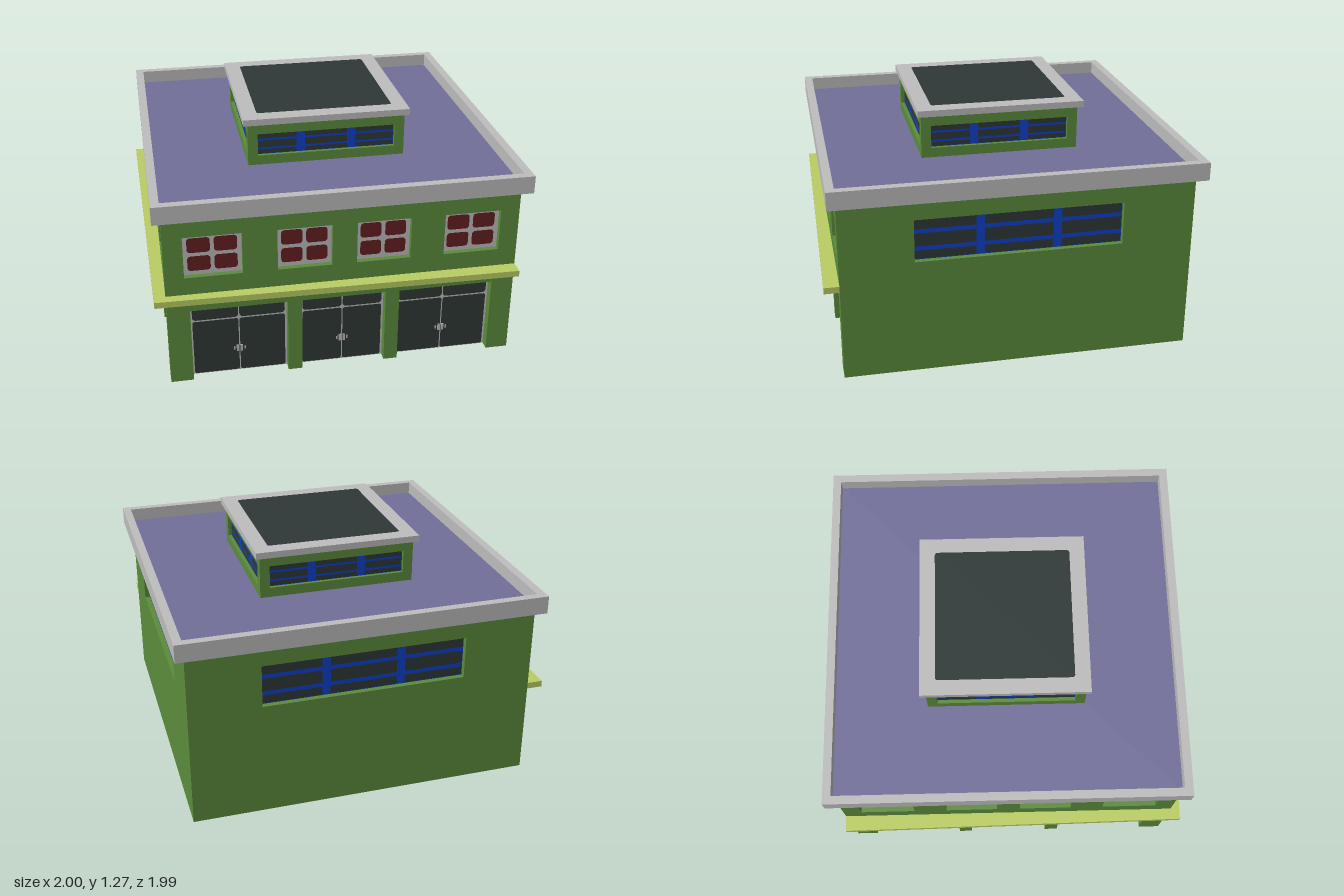
import * as THREE from 'three';

const mat = (name, color, side = THREE.DoubleSide) => {
  const m = new THREE.MeshStandardMaterial({ color, side });
  m.name = name;
  return m;
};
const green = mat('wall green', 0x5b8c3c);
const grey = mat('trim grey', 0xbdbdbd);
const lime = mat('ledge lime', 0xbacd63);
const purple = mat('roof purple', 0x726f9a);
const dark = mat('dark glass', 0x2e3836);
const red = mat('red pane', 0x641f20);
const blue = mat('bar blue', 0x1040c8);

function add(parent, name, geometry, material, x = 0, y = 0, z = 0) {
  const mesh = new THREE.Mesh(geometry, material);
  mesh.name = name;
  mesh.position.set(x, y, z);
  parent.add(mesh);
  return mesh;
}

// Rectangle path with corners cut round by r
function rect(Kind, x0, y0, x1, y1, r = 0) {
  const p = new Kind();
  if (!r) return p.setFromPoints([[x0, y0], [x1, y0], [x1, y1], [x0, y1]].map(a => new THREE.Vector2(...a)));
  const q = Math.PI / 2;
  p.absarc(x1 - r, y0 + r, r, -q, 0);
  p.absarc(x1 - r, y1 - r, r, 0, q);
  p.absarc(x0 + r, y1 - r, r, q, 2 * q);
  p.absarc(x0 + r, y0 + r, r, 2 * q, 3 * q);
  p.closePath();
  return p;
}

// Square ring lying flat, extruded upward
function ring(outer, inner, height) {
  const s = rect(THREE.Shape, -outer, -outer, outer, outer);
  s.holes.push(rect(THREE.Path, -inner, -inner, inner, inner));
  return new THREE.ExtrudeGeometry(s, { depth: height, bevelEnabled: false }).rotateX(-Math.PI / 2);
}

// Frame and panes sharing one plane; panes are [x0, y0, x1, y1, radius]
function glazing(parent, name, o, z, panes, frameMat, paneMat) {
  const frame = rect(THREE.Shape, o.u0, o.v0, o.u1, o.v1);
  panes.forEach(p => frame.holes.push(rect(THREE.Path, ...p)));
  add(parent, name + 'Frame', new THREE.ShapeGeometry(frame, 4), frameMat, 0, 0, z);
  add(parent, name + 'Panes', new THREE.ShapeGeometry(panes.map(p => rect(THREE.Shape, ...p)), 4), paneMat, 0, 0, z);
}

// Panes between grid lines, with a gap between neighbours
function gridPanes(us, vs, gapU, gapV, r) {
  const panes = [];
  for (let i = 0; i + 1 < us.length; i++)
    for (let j = 0; j + 1 < vs.length; j++)
      panes.push([
        us[i] + (i ? gapU / 2 : 0), vs[j] + (j ? gapV / 2 : 0),
        us[i + 1] - (i + 2 < us.length ? gapU / 2 : 0), vs[j + 1] - (j + 2 < vs.length ? gapV / 2 : 0), r]);
  return panes;
}

const fill = {
  smallWindow(g, o, z) {
    const b = 0.022;
    const us = [o.u0 + b, (o.u0 + o.u1) / 2, o.u1 - b], vs = [o.v0 + b, (o.v0 + o.v1) / 2, o.v1 - b];
    glazing(g, 'window', o, z, gridPanes(us, vs, 0.02, 0.02, 0.018), grey, red);
  },
  garageDoor(g, o, z) {
    const c = (o.u0 + o.u1) / 2, b = 0.01;
    const panes = gridPanes([o.u0 + b, c, o.u1 - b], [o.v0 + 0.003, 0.332, o.v1 - b], 0.006, 0.008, 0.02);
    panes.forEach(p => { if (p[1] < 0.1) p[4] = 0.012; });
    glazing(g, 'door', o, z, panes, grey, dark);
    // Handles beside the centre seam
    for (const s of [-1, 1]) {
      add(g, 'doorHandle', new THREE.BoxGeometry(0.012, 0.04, 0.008), grey, c + s * 0.011, 0.14, z);
      add(g, 'handleKnob', new THREE.BoxGeometry(0.008, 0.018, 0.008), grey, c + s * 0.028, 0.14, z);
    }
  },
  stripWindow(g, o, z) {
    const b = 0.003, h = o.v1 - o.v0, w = o.u1 - o.u0;
    const us = [o.u0 + b, -w * 0.185, w * 0.185, o.u1 - b];
    const vs = [o.v0 + b, o.v0 + h * 0.26, o.v0 + h * 0.67, o.v1 - b];
    glazing(g, 'stripWindow', o, z, gridPanes(us, vs, 0.045, h * 0.1, 0), blue, dark);
  },
};

// Thin wall facing +z with recessed openings
function wall(name, half, y0, y1, openings) {
  const g = new THREE.Group();
  g.name = name;
  const pts = [[-half, y0]];
  for (const o of openings) if (o.v0 === y0) pts.push([o.u0, y0], [o.u0, o.v1], [o.u1, o.v1], [o.u1, y0]);
  pts.push([half, y0], [half, y1], [-half, y1]);
  const shape = new THREE.Shape(pts.map(p => new THREE.Vector2(...p)));
  for (const o of openings) {
    if (o.v0 !== y0) shape.holes.push(rect(THREE.Path, o.u0, o.v0, o.u1, o.v1));
    const d = o.depth, w = o.u1 - o.u0, h = o.v1 - o.v0, cu = (o.u0 + o.u1) / 2, cv = (o.v0 + o.v1) / 2;
    // Reveals around the opening
    for (const s of [-1, 1]) {
      add(g, 'revealSide', new THREE.PlaneGeometry(d, h).rotateY(-s * Math.PI / 2), green, cu + s * w / 2, cv, half - d / 2);
      if (s > 0 || o.v0 !== y0)
        add(g, 'revealEdge', new THREE.PlaneGeometry(w, d).rotateX(s * Math.PI / 2), green, cu, cv + s * h / 2, half - d / 2);
    }
    fill[o.type](g, o, half - d);
  }
  add(g, 'wallFace', new THREE.ShapeGeometry(shape), green, 0, 0, half);
  return g;
}

export function createModel() {
  const model = new THREE.Group();
  model.name = 'building';
  const body = new THREE.Group();
  body.name = 'body';
  body.position.set(0.015, 0, -0.015);
  model.add(body);

  // Main walls: doors and windows on front and right, strip windows on left and back
  const street = [
    ...[[-0.81, -0.3], [-0.225, 0.225], [0.3, 0.81]].map(([u0, u1]) =>
      ({ u0, u1, v0: 0, v1: 0.43, depth: 0.05, type: 'garageDoor' })),
    ...[[-0.83, -0.53], [-0.35, -0.065], [0.065, 0.35], [0.53, 0.83]].map(([u0, u1]) =>
      ({ u0, u1, v0: 0.63, v1: 0.862, depth: 0.03, type: 'smallWindow' })),
  ];
  const plain = [{ u0: -0.547, u1: 0.547, v0: 0.63, v1: 0.862, depth: 0.03, type: 'stripWindow' }];
  const upper = [{ u0: -0.375, u1: 0.375, v0: 1.048, v1: 1.172, depth: 0.02, type: 'stripWindow' }];
  ['front', 'left', 'back', 'right'].forEach((side, i) => {
    const main = wall(side + 'Wall', 0.93, 0, 0.985, i === 0 || i === 3 ? street : plain);
    const top = wall(side + 'PenthouseWall', 0.429, 0.995, 1.235, upper);
    main.rotation.y = top.rotation.y = i * Math.PI / 2;
    body.add(main, top);
  });

  // Parapet and flat roof
  add(body, 'parapet', ring(0.978, 0.933, 0.097), grey, 0.003, 0.97, -0.003);
  add(body, 'roof', new THREE.PlaneGeometry(1.868, 1.868).rotateX(-Math.PI / 2), purple, 0.003, 0.995, -0.003);

  // Penthouse cap with skylight
  add(body, 'penthouseCap', ring(0.453, 0.366, 0.035), grey, 0, 1.23, -0.005);
  const sky = new THREE.ShapeGeometry(rect(THREE.Shape, -0.37, -0.37, 0.37, 0.37, 0.015), 3).rotateX(-Math.PI / 2);
  add(body, 'skylight', sky, dark, 0, 1.267, -0.005);

  // Slightly flared ledge wrapping the front and right sides
  const plan = [[-1, -0.945], [-0.915, -0.945], [-0.915, 0.915], [0.945, 0.915], [0.945, 0.995], [-0.975, 0.965]];
  const ledge = new THREE.Shape(plan.map(([x, z]) => new THREE.Vector2(x, -z)));
  add(model, 'ledge', new THREE.ExtrudeGeometry(ledge, { depth: 0.034, bevelEnabled: false }).rotateX(-Math.PI / 2), lime, 0, 0.498, 0);

  return model;
}
